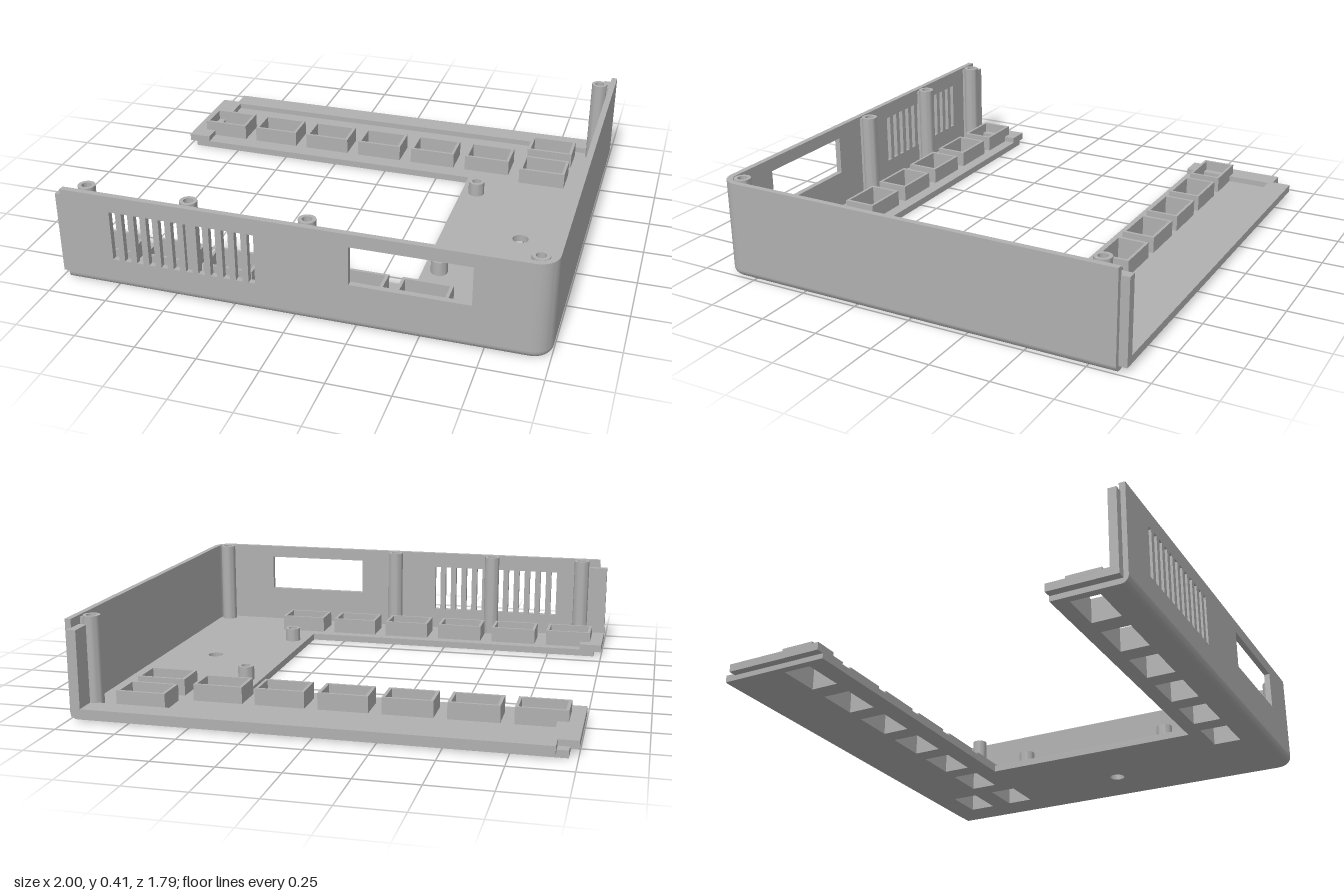
import * as THREE from 'three';
import { toCreasedNormals } from 'three/addons/utils/BufferGeometryUtils.js';

const FLOOR = 0.03, TOP = 0.41, WALL = 0.025, RADIUS = 0.08;
const LEFT = -0.965, RIGHT = 1, BACK = -0.865, FRONT = 0.89;

export function createModel() {
  const model = new THREE.Group();
  model.name = 'enclosureHalf';
  const grey = new THREE.MeshStandardMaterial({ color: 0xb0b0b0 });
  grey.name = 'grey plastic';

  const add = (name, geometry) => {
    const mesh = new THREE.Mesh(geometry, grey);
    mesh.name = name;
    model.add(mesh);
    return mesh;
  };
  const box = (name, x0, x1, y0, y1, z0, z1) =>
    add(name, new THREE.BoxGeometry(x1 - x0, y1 - y0, z1 - z0))
      .position.set((x0 + x1) / 2, (y0 + y1) / 2, (z0 + z1) / 2);

  const rect = (Type, x0, x1, y0, y1) => new Type([
    [x0, y0], [x1, y0], [x1, y1], [x0, y1],
  ].map(p => new THREE.Vector2(...p)));
  // Extrudes a plan shape (drawn with y = -z) upwards
  const slab = (shape, height) => toCreasedNormals(
    new THREE.ExtrudeGeometry(shape, { depth: height, bevelEnabled: false, curveSegments: 16 })
      .rotateX(-Math.PI / 2), 0.6);

  // Cell openings: one row on each arm plus two on the back right
  const cells = [];
  for (let i = 0; i < 6; i++) {
    cells.push([-0.84 + i * 0.2626, -0.537], [-0.84 + i * 0.2626, 0.709]);
  }
  cells.push([0.741, -0.695], [0.741, -0.481]);

  // U-shaped floor
  const floor = new THREE.Shape();
  const edge = FLOOR, fx = RIGHT - edge, fz = FRONT - edge, r = RADIUS - edge;
  floor.moveTo(LEFT, -fz);
  floor.lineTo(fx - r, -fz);
  floor.absarc(fx - r, -fz + r, r, -Math.PI / 2, 0, false);
  floor.lineTo(fx, -BACK);
  floor.lineTo(LEFT, -BACK);
  floor.lineTo(LEFT, 0.39);
  floor.lineTo(0.405, 0.39);
  floor.lineTo(0.405, -0.585);
  floor.lineTo(LEFT, -0.585);
  floor.closePath();
  for (const [x, z] of cells) {
    floor.holes.push(rect(THREE.Path, x - 0.091, x + 0.091, -z - 0.06, -z + 0.06));
  }
  const cableHole = new THREE.Path();
  cableHole.absarc(0.741, -0.095, 0.034, 0, Math.PI * 2, true);
  floor.holes.push(cableHole);
  add('floor', slab(floor, FLOOR));

  // Raised collars round the openings
  const collar = rect(THREE.Shape, -0.104, 0.104, -0.072, 0.072);
  collar.holes.push(rect(THREE.Path, -0.091, 0.091, -0.06, 0.06));
  const collarGeometry = slab(collar, 0.07);
  for (const [x, z] of cells) add('openingCollar', collarGeometry).position.set(x, FLOOR, z);

  // Sweeps a convex section [outward, y] along a plan path of { x, z, nx, nz }
  const sweep = (section, path) => {
    const pos = [];
    const at = (i, j) => {
      const p = path[i], [u, y] = section[j % section.length];
      return [p.x + p.nx * u, y, p.z + p.nz * u];
    };
    const last = path.length - 1;
    for (let i = 0; i < last; i++) {
      for (let j = 0; j < section.length; j++) {
        pos.push(...at(i, j), ...at(i + 1, j), ...at(i + 1, j + 1));
        pos.push(...at(i, j), ...at(i + 1, j + 1), ...at(i, j + 1));
      }
    }
    for (let k = 1; k < section.length - 1; k++) {
      pos.push(...at(0, 0), ...at(0, k), ...at(0, k + 1));
      pos.push(...at(last, 0), ...at(last, k + 1), ...at(last, k));
    }
    const g = new THREE.BufferGeometry();
    g.setAttribute('position', new THREE.Float32BufferAttribute(pos, 3));
    return toCreasedNormals(g, 0.6);
  };
  const cornerPath = [];
  for (let i = 0; i <= 12; i++) {
    const a = (i / 12) * Math.PI / 2, nx = Math.sin(a), nz = Math.cos(a);
    cornerPath.push({ x: RIGHT - RADIUS + RADIUS * nx, z: FRONT - RADIUS + RADIUS * nz, nx, nz });
  }
  cornerPath.push({ x: RIGHT, z: BACK, nx: 1, nz: 0 });

  // Rounded lower edge under the front and side walls
  const round = [[-FLOOR, FLOOR]];
  for (let i = 0; i <= 8; i++) {
    const a = (i / 8 - 1) * Math.PI / 2;
    round.push([-FLOOR + FLOOR * Math.cos(a), FLOOR + FLOOR * Math.sin(a)]);
  }
  add('roundedLowerEdge', sweep(round, [{ x: LEFT, z: FRONT, nx: 0, nz: 1 }, ...cornerPath]));

  // Side wall with the rounded front corner
  add('sideWall', sweep([[-WALL, FLOOR], [0, FLOOR], [0, TOP], [-WALL, TOP]], cornerPath));

  // Front wall with vent slots and a display window
  const wall = rect(THREE.Shape, LEFT, RIGHT - RADIUS, FLOOR, TOP);
  for (let i = 0; i < 12; i++) {
    const x = -0.758 + i * 0.0526;
    wall.holes.push(rect(THREE.Path, x, x + 0.027, 0.125, 0.34));
  }
  wall.holes.push(rect(THREE.Path, 0.225, 0.7, 0.19, 0.355));
  add('frontWall', new THREE.ExtrudeGeometry(wall, { depth: WALL, bevelEnabled: false }))
    .position.z = FRONT - WALL;

  // Mating lips along the open back and left edges
  box('backFloorLip', -0.92, 0.975, 0.022, 0.055, -0.9, -0.8);
  box('backArmLip', -1, -0.9, 0.022, 0.055, -0.82, -0.39);
  box('frontArmLip', -1, -0.9, 0.022, 0.055, 0.585, 0.865);
  box('sideWallLip', 0.94, 0.979, 0.022, 0.375, -0.9, -0.8);
  box('frontWallLip', -1, -0.92, 0.022, 0.375, 0.835, 0.87);

  // Hollow screw posts
  const post = (name, x, z, top) => {
    const h = top - FLOOR, depth = Math.min(0.1, h - 0.005);
    const profile = [[0.035, 0], [0.035, h], [0.02, h], [0.02, h - depth], [0, h - depth]]
      .map(p => new THREE.Vector2(...p));
    add(name, toCreasedNormals(new THREE.LatheGeometry(profile, 28), 0.6))
      .position.set(x, FLOOR, z);
  };
  post('tallScrewPost', 0.93, -0.775, TOP);
  box('postWeb', 0.955, 0.98, FLOOR, TOP - 0.01, -0.785, -0.765);
  for (const x of [-0.88, -0.443, 0.043, 0.93]) {
    post('tallScrewPost', x, 0.825, TOP);
    box('postWeb', x - 0.02, x + 0.02, FLOOR, TOP - 0.01, 0.853, 0.87);
  }
  for (const z of [-0.253, 0.447]) post('shortScrewPost', 0.472, z, 0.09);

  return model;
}
